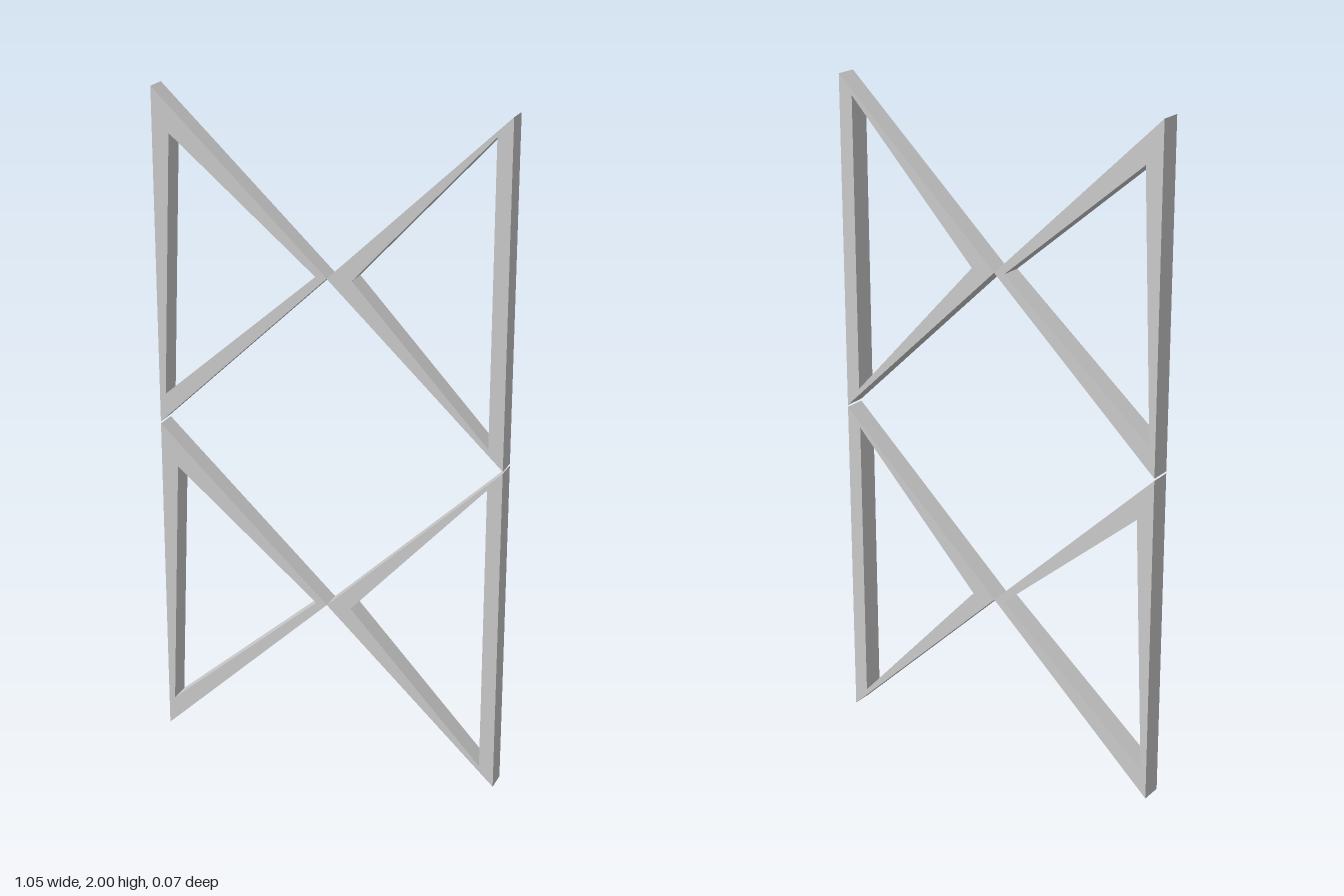
import * as THREE from 'three';

const DEPTH = 0.066;
const HEIGHT = 0.997;
const material = new THREE.MeshStandardMaterial({ color: 0xcccccc, flatShading: true });

// Triangular frame: outer outline with a triangular opening, extruded along z
function triangleFrame(name, outer, inner) {
  const toPoints = (list) => list.map(([x, y]) => new THREE.Vector2(x, y));
  const shape = new THREE.Shape(toPoints(outer));
  shape.holes.push(new THREE.Path(toPoints(inner)));
  const geometry = new THREE.ExtrudeGeometry(shape, { depth: DEPTH, bevelEnabled: false });
  geometry.translate(0, 0, -DEPTH / 2);
  const mesh = new THREE.Mesh(geometry, material);
  mesh.name = name;
  return mesh;
}

export function createModel() {
  const model = new THREE.Group();
  model.name = 'trussPanel';

  // Two stacked bays, each a pair of triangles meeting tip to tip
  ['lower', 'upper'].forEach((level, i) => {
    const bay = new THREE.Group();
    bay.name = `${level}Bay`;
    bay.position.y = i * (2 - HEIGHT);

    // Right triangle: uneven bars, thickest at the top outer corner
    bay.add(triangleFrame('rightTriangleFrame',
      [[-0.527, 0], [0, HEIGHT / 2], [-0.527, HEIGHT]],
      [[-0.508, 0.09], [-0.475, 0.868], [-0.034, 0.5]]));

    // Left triangle: upright bar of even width, diagonals thickest at the tip
    bay.add(triangleFrame('leftTriangleFrame',
      [[0.527, 0], [0.527, HEIGHT], [0, HEIGHT / 2]],
      [[0.483, 0.06], [0.075, 0.5], [0.483, 0.94]]));

    model.add(bay);
  });
  return model;
}
